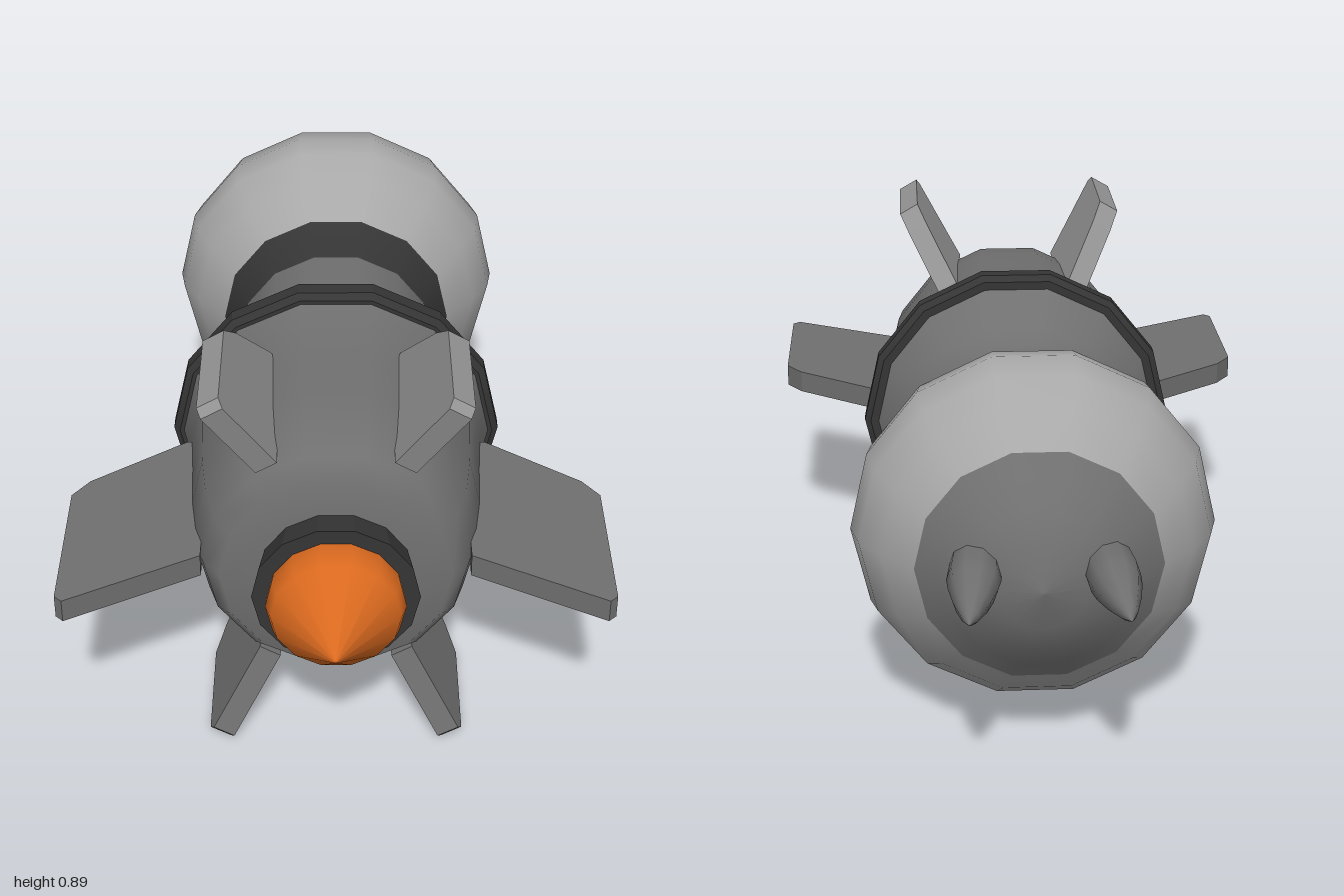
import * as THREE from 'three';
import { toCreasedNormals } from 'three/addons/utils/BufferGeometryUtils.js';

const SIDES = 14;
const mat = (name, color) => new THREE.MeshStandardMaterial({ name, color });

// Solid turned about the z axis; profile is [radius, z] with z rising
function turned(profile, hard = false, sides = SIDES) {
  const points = profile.map(([r, z]) => new THREE.Vector2(r, z));
  const geo = new THREE.LatheGeometry(points, sides, Math.PI / 2).rotateX(Math.PI / 2);
  return hard ? toCreasedNormals(geo, 0.4) : geo;
}

// Flat plate from an outline of [radius, z], standing out along +x
function finPlate(outline, thickness) {
  const shape = new THREE.Shape(outline.map(([r, z]) => new THREE.Vector2(r, z)));
  return new THREE.ExtrudeGeometry(shape, { depth: thickness, bevelEnabled: false })
    .translate(0, 0, -thickness / 2)
    .rotateX(Math.PI / 2);
}

export function createModel() {
  const model = new THREE.Group();
  model.name = 'rocket';
  const grey = mat('body grey', 0x707070);
  const finGrey = mat('fin grey', 0x949494);
  const light = mat('light grey', 0xa8a8a8);
  const dark = mat('dark trim', 0x353535);
  const orange = mat('flame orange', 0xd9691f);

  const add = (name, geometry, material) => {
    const mesh = new THREE.Mesh(geometry, material);
    mesh.name = name;
    model.add(mesh);
    return mesh;
  };

  // Rear cap, rounded head and dark collar
  add('noseCap', turned([
    [0, -0.81], [0.09, -0.79], [0.155, -0.757], [0.21, -0.715], [0.257, -0.68],
  ]), grey);
  add('head', turned([
    [0.257, -0.68], [0.325, -0.61], [0.372, -0.54], [0.39, -0.47],
    [0.38, -0.41], [0.34, -0.345], [0.272, -0.265],
  ]), light);
  add('collar', turned([[0.272, -0.265], [0.248, -0.22], [0.232, -0.165]]), dark);

  // Narrow neck flaring into the ring
  add('neck', turned([
    [0.232, -0.165], [0.232, -0.03], [0.236, 0.03], [0.262, 0.075], [0.305, 0.12], [0.338, 0.165],
  ]), grey);
  add('ring', turned([
    [0.32, 0.158], [0.352, 0.158], [0.366, 0.17], [0.366, 0.206], [0.352, 0.218], [0.32, 0.218],
  ], true), dark);

  // Engine body, nozzle and flame
  add('body', turned([
    [0.345, 0.21], [0.326, 0.29], [0.318, 0.4], [0.312, 0.52], [0.3, 0.61],
    [0.275, 0.69], [0.24, 0.732], [0.12, 0.735],
  ]), grey);
  add('nozzle', turned([[0.16, 0.73], [0.172, 0.8], [0.1, 0.8]], true), dark);
  add('flame', turned([[0.138, 0.79], [0.143, 0.83], [0.132, 0.862], [0, 1]]), orange);

  // Pair of pointed horns
  const horn = turned([
    [0, -0.25], [0.018, -0.212], [0.037, -0.15], [0.05, -0.09], [0.055, -0.05], [0.052, 0.03],
  ], false, 10);
  for (const side of [-1, 1]) {
    const mesh = add(side > 0 ? 'leftHorn' : 'rightHorn', horn, grey);
    mesh.position.set(side * 0.135, 0.03, -0.75);
    mesh.rotation.y = -side * 0.08;
  }

  // Two long side fins and four short diagonal fins
  const longFin = finPlate([
    [0.28, 0.295], [0.33, 0.3], [0.53, 0.445], [0.566, 0.495],
    [0.566, 0.83], [0.55, 0.845], [0.28, 0.7],
  ], 0.052);
  const shortFin = finPlate([
    [0.28, 0.335], [0.32, 0.34], [0.455, 0.445], [0.499, 0.495],
    [0.499, 0.735], [0.482, 0.752], [0.28, 0.69],
  ], 0.05);
  for (let i = 0; i < 6; i++) {
    const isSide = i % 3 === 0;
    const isTop = i === 1 || i === 2;
    const fin = add(isSide ? 'sideFin' : isTop ? 'upperFin' : 'lowerFin',
      isSide ? longFin : shortFin, isTop ? finGrey : grey);
    fin.rotation.z = i * Math.PI / 3;
  }

  // Raise the axis so the lower fins stand on the ground
  for (const part of model.children) part.position.y += 0.445;
  return model;
}
